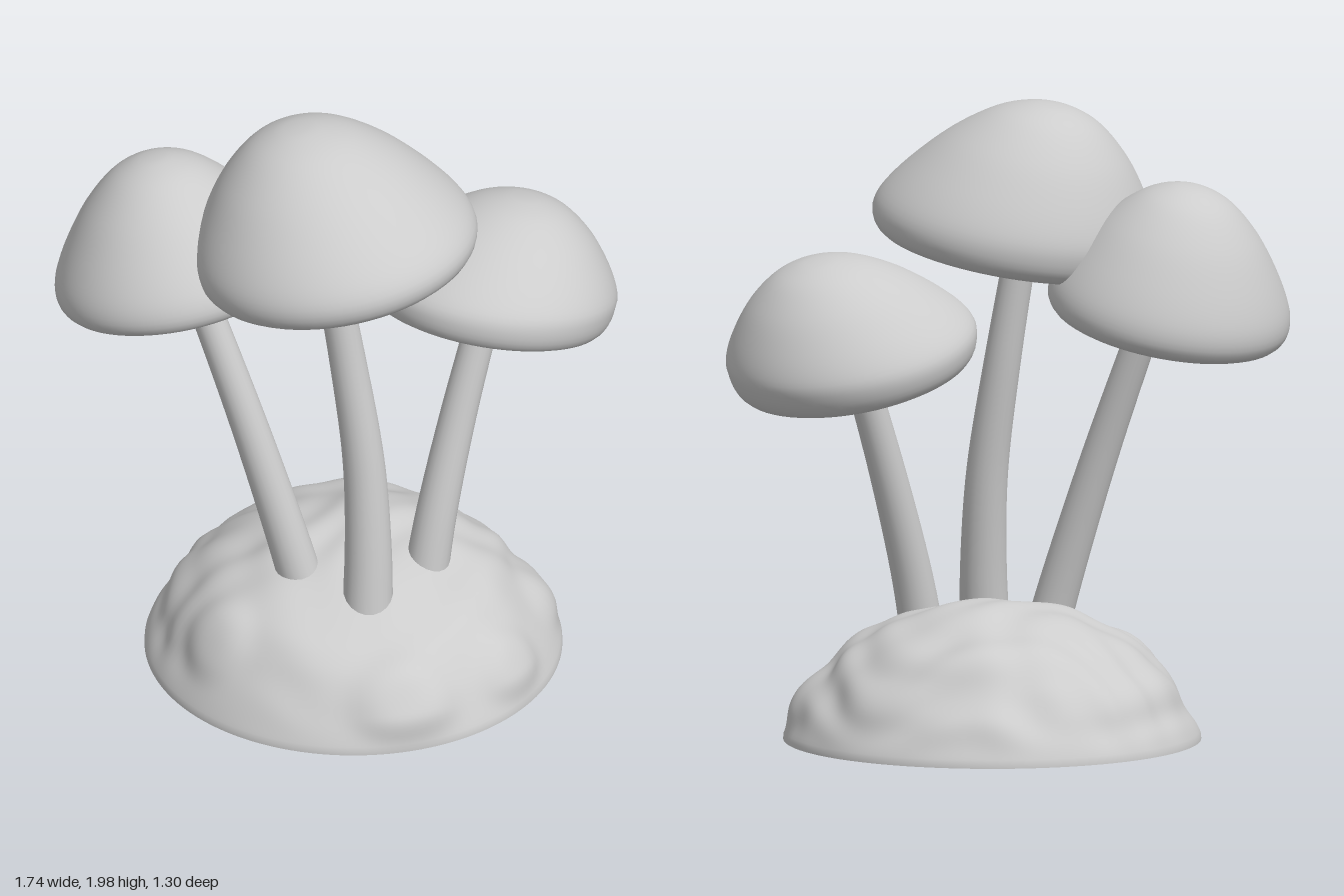
import * as THREE from 'three';
import { mergeVertices } from 'three/addons/utils/BufferGeometryUtils.js';

const UP = new THREE.Vector3(0, 1, 0);
const { smoothstep } = THREE.MathUtils;

// Smooth welded surface of revolution; points run from bottom to top
function turned(points, samples, segments) {
  const curve = new THREE.SplineCurve(points.map(([x, y]) => new THREE.Vector2(x, y)));
  const profile = curve.getSpacedPoints(samples).map((p) => new THREE.Vector2(Math.max(p.x, 0), p.y));
  const geo = new THREE.LatheGeometry(profile, segments);
  geo.deleteAttribute('uv');
  geo.deleteAttribute('normal');
  return mergeVertices(geo, 1e-4);
}

// Underside in units of radius and lip depth, then the bell in units of radius and height
const UNDERSIDE = [[0, -0.2], [0.35, -0.38], [0.65, -0.72], [0.86, -1], [0.96, -0.7]];
const BELL = [[1, 0], [0.965, 0.16], [0.83, 0.4], [0.63, 0.665], [0.39, 0.88], [0.17, 0.98], [0, 1]];

function makeCap(material, { centre, axis, radius, height, lip, lean }) {
  const geo = turned([
    ...UNDERSIDE.map(([r, h]) => [r * radius, h * lip]),
    ...BELL.map(([r, h]) => [r * radius, h * height]),
  ], 56, 64);
  // Push the crown sideways so the bell leans over its rim
  const pos = geo.attributes.position;
  for (let i = 0; i < pos.count; i++) {
    const k = Math.max(pos.getY(i) / height, 0);
    pos.setX(i, pos.getX(i) + lean[0] * k);
    pos.setZ(i, pos.getZ(i) + lean[1] * k);
  }
  geo.computeVertexNormals();
  const cap = new THREE.Mesh(geo, material);
  cap.name = 'cap';
  cap.position.set(...centre);
  cap.quaternion.setFromUnitVectors(UP, new THREE.Vector3(...axis).normalize());
  return cap;
}

// Bent stem that narrows upwards
function makeStem(material, { path, r0, r1 }) {
  const rows = 32, sides = 20;
  const curve = new THREE.CatmullRomCurve3(path.map((p) => new THREE.Vector3(...p)));
  const geo = new THREE.TubeGeometry(curve, rows, 1, sides);
  const pos = geo.attributes.position;
  const v = new THREE.Vector3();
  for (let i = 0; i <= rows; i++) {
    const t = i / rows;
    const c = curve.getPointAt(t);
    const r = r1 + (r0 - r1) * (1 - t) ** 1.3;
    for (let j = 0; j <= sides; j++) {
      const k = i * (sides + 1) + j;
      v.fromBufferAttribute(pos, k).sub(c).multiplyScalar(r).add(c);
      pos.setXYZ(k, v.x, v.y, v.z);
    }
  }
  const stem = new THREE.Mesh(geo, material);
  stem.name = 'stem';
  return stem;
}

// Lumpy mound with a flat underside
function makeMound(material) {
  const mound = new THREE.Group();
  mound.name = 'mound';
  const geo = turned([[0.648, 0], [0.645, 0.02], [0.615, 0.08], [0.565, 0.16], [0.51, 0.235], [0.44, 0.3],
    [0.33, 0.365], [0.18, 0.42], [0, 0.44]], 64, 128);
  geo.computeVertexNormals();
  const pos = geo.attributes.position, nor = geo.attributes.normal;
  const p = new THREE.Vector3(), n = new THREE.Vector3();
  // Rounded lumps: x, y, z, width, height; the last is a shallow dip around the stems
  const lumps = [[0.03, 0.13, 0.58, 0.15, 0.035], [0.4, 0.13, 0.44, 0.12, 0.03],
    [-0.47, 0.2, 0.2, 0.12, 0.025], [0.58, 0.12, 0.05, 0.12, 0.022], [0.02, 0.36, 0.27, 0.27, -0.028]];
  for (let i = 0; i < pos.count; i++) {
    p.fromBufferAttribute(pos, i);
    n.fromBufferAttribute(nor, i);
    // Wavy folds, strongest at the back and sides and fading out at the rim
    const fade = smoothstep(p.y, 0.01, 0.14);
    const back = 1 - 0.8 * smoothstep(p.z, -0.05, 0.35);
    const a = Math.sin(13 * p.x + 3 * Math.sin(7 * p.z) + 1) * Math.sin(15 * p.z + 2 * Math.sin(9 * p.x));
    const b = Math.sin(32 * p.y + 2.5 * Math.sin(8 * p.x + 5 * p.z));
    let d = fade * back * (0.01 * a + 0.007 * b);
    for (const [x, y, z, w, h] of lumps) {
      const q = ((p.x - x) ** 2 + (p.y - y) ** 2 + (p.z - z) ** 2) / (w * w);
      d += smoothstep(p.y, 0, 0.1) * h * Math.exp(-q * q);
    }
    p.addScaledVector(n, d);
    pos.setXYZ(i, p.x, p.y, p.z);
  }
  geo.computeVertexNormals();
  const soil = new THREE.Mesh(geo, material);
  soil.name = 'moundTop';
  const bottom = new THREE.Mesh(new THREE.CircleGeometry(0.648, 128).rotateX(Math.PI / 2), material);
  bottom.name = 'moundUnderside';
  mound.add(soil, bottom);
  mound.position.x = 0.037;
  return mound;
}

const MUSHROOMS = [
  { name: 'middleMushroom',
    cap: { centre: [-0.055, 1.58, 0.16], axis: [-0.15, 1, -0.12], radius: 0.443, height: 0.415,
      lip: 0.075, lean: [-0.045, -0.05] },
    stem: { path: [[0.015, 0.26, 0.28], [0.025, 0.5, 0.25], [0.02, 0.8, 0.21], [-0.02, 1.15, 0.165],
      [-0.08, 1.54, 0.13], [-0.095, 1.62, 0.12]], r0: 0.08, r1: 0.05 } },
  { name: 'rightMushroom',
    cap: { centre: [-0.495, 1.36, -0.14], axis: [-0.15, 1, -0.21], radius: 0.38, height: 0.4,
      lip: 0.06, lean: [0, 0] },
    stem: { path: [[-0.14, 0.26, 0.13], [-0.2, 0.5, 0.09], [-0.31, 0.9, 0.01], [-0.45, 1.36, -0.1],
      [-0.48, 1.45, -0.12]], r0: 0.07, r1: 0.049 } },
  { name: 'leftMushroom',
    cap: { centre: [0.48, 1.235, -0.022], axis: [0.22, 1, -0.2], radius: 0.392, height: 0.31,
      lip: 0.085, lean: [0.06, 0] },
    stem: { path: [[0.225, 0.26, 0.15], [0.27, 0.5, 0.12], [0.355, 0.83, 0.065], [0.465, 1.2, 0.005],
      [0.49, 1.28, -0.01]], r0: 0.07, r1: 0.05 } },
];

export function createModel() {
  const grey = new THREE.MeshStandardMaterial({ color: 0xcccccc });
  grey.name = 'light grey';
  const model = new THREE.Group();
  model.name = 'mushroomCluster';
  model.add(makeMound(grey));
  for (const { name, cap, stem } of MUSHROOMS) {
    const mushroom = new THREE.Group();
    mushroom.name = name;
    mushroom.add(makeStem(grey, stem), makeCap(grey, cap));
    model.add(mushroom);
  }
  return model;
}
